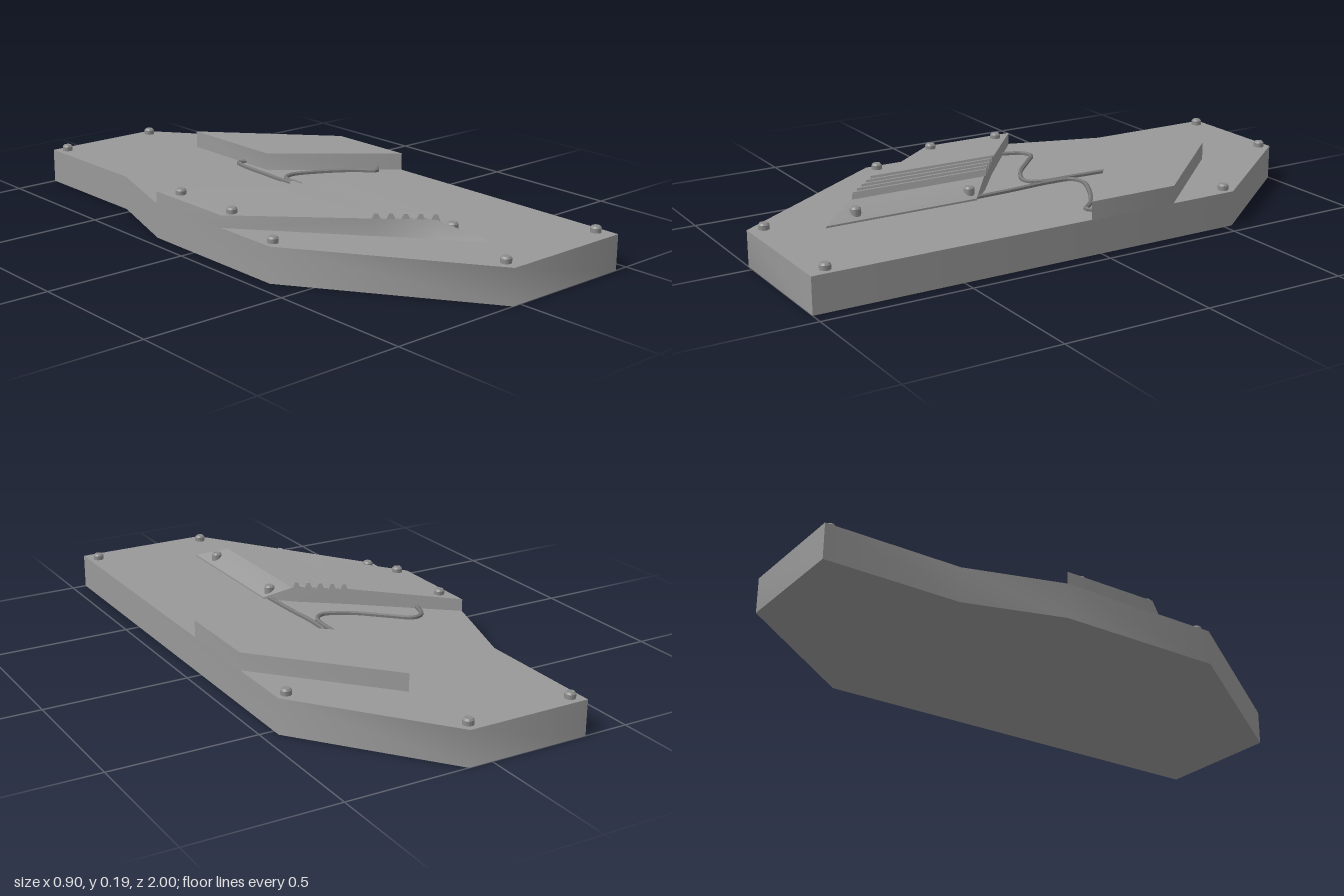
import * as THREE from 'three';
import { toCreasedNormals } from 'three/addons/utils/BufferGeometryUtils.js';

const BASE_TOP = 0.12;
const bodyMaterial = new THREE.MeshStandardMaterial({ color: 0x999999 });
const boltMaterial = new THREE.MeshStandardMaterial({ color: 0x8c8c8c });
const cableMaterial = new THREE.MeshStandardMaterial({ color: 0x777777 });

function addMesh(parent, name, geometry, material = bodyMaterial) {
  const mesh = new THREE.Mesh(geometry, material);
  mesh.name = name;
  parent.add(mesh);
  return mesh;
}

// Vertical prism from an [x, z] outline, shaded smoothly around blunt corners
function prism(outline, bottom, top) {
  const shape = new THREE.Shape(outline.map(([x, z]) => new THREE.Vector2(x, -z)));
  const geometry = new THREE.ExtrudeGeometry(shape, { depth: top - bottom, bevelEnabled: false });
  geometry.rotateX(-Math.PI / 2).translate(0, bottom, 0);
  return toCreasedNormals(geometry, 1.05);
}

// Closed solid through four-cornered rings, each clockwise seen from the far end
function loft(rings) {
  const positions = [];
  const quad = (a, b, c, d) => [a, b, c, a, c, d].forEach((p) => positions.push(...p));
  for (let i = 0; i + 1 < rings.length; i++) {
    for (let j = 0; j < 4; j++) {
      const k = (j + 1) % 4;
      quad(rings[i][j], rings[i + 1][j], rings[i + 1][k], rings[i][k]);
    }
  }
  const last = rings[rings.length - 1];
  quad(...rings[0]);
  quad(last[3], last[2], last[1], last[0]);
  const geometry = new THREE.BufferGeometry();
  geometry.setAttribute('position', new THREE.Float32BufferAttribute(positions, 3));
  return toCreasedNormals(geometry, 0.8);
}

// Cable lying on the base through [x, z] points
function cable(points) {
  const curve = new THREE.CatmullRomCurve3(points.map(([x, z]) => new THREE.Vector3(x, BASE_TOP + 0.004, z)));
  return toCreasedNormals(new THREE.TubeGeometry(curve, 60, 0.008, 6, false), 0.5);
}

export function createModel() {
  const model = new THREE.Group();
  model.name = 'panel';

  // Base plate
  addMesh(model, 'basePlate', prism([
    [-0.345, -1], [0.082, -1], [0.449, -0.53], [0.449, 1],
    [-0.03, 1], [-0.449, 0.385], [-0.449, -0.2], [-0.345, -0.53],
  ], 0, BASE_TOP));

  // Flat raised block
  addMesh(model, 'flatBlock', prism([
    [0.085, -0.685], [0.449, -0.283], [0.449, 0.038], [0.085, -0.272],
  ], BASE_TOP - 0.005, 0.18));

  // Sloped block: x, top height, back z, front z at the bottom, front z at the top
  const stations = [
    [-0.449, 0.162, -0.2, 0.145, 0.145],
    [-0.14, 0.176, 0.057, 0.518, 0.514],
    [0, 0.176, 0.165, 0.688, 0.652],
    [0.083, 0.126, 0.245, 0.788, 0.782],
  ];
  addMesh(model, 'slopedBlock', loft(stations.map(([x, y, back, front, frontTop]) => [
    [x, BASE_TOP - 0.005, back], [x, BASE_TOP - 0.005, front], [x, y, frontTop], [x, y, back],
  ])));

  // Cooling ribs, cut to the slanted ends of the block
  const ribs = new THREE.Group();
  ribs.name = 'ribs';
  model.add(ribs);
  const ribSection = [[-0.011, 0.172], [-0.004, 0.193], [0.004, 0.193], [0.011, 0.172]];
  const backZ = (x) => 0.16 + x * 0.77;
  const frontZ = (x) => 0.65 + x * 0.98;
  for (let i = 0; i < 5; i++) {
    const cx = -0.133 + i * 0.0328;
    addMesh(ribs, 'rib', loft([backZ, frontZ].map((end) =>
      ribSection.map(([dx, y]) => [cx + dx, y, end(cx + dx)]))));
  }

  // Cables
  addMesh(model, 'leftCable', cable([
    [-0.335, -0.09], [-0.305, -0.165], [-0.265, -0.18], [-0.2, -0.125], [-0.1, -0.035],
    [-0.01, 0.002], [0.025, -0.03], [0.035, -0.18], [0.048, -0.37], [0.062, -0.405], [0.09, -0.395],
  ]), cableMaterial);
  addMesh(model, 'rightCable', cable([
    [0.385, -0.02], [0.36, 0], [0.31, -0.05], [0.21, -0.115], [0.1, -0.158],
    [0.06, -0.14], [0.05, -0.06], [0.06, 0.1], [0.066, 0.24],
  ]), cableMaterial);

  // Bolts with a chamfered head: x, z, top height
  const boltProfile = [[0, -0.03], [0.018, -0.03], [0.018, -0.006], [0.013, 0], [0, 0]];
  const boltGeometry = toCreasedNormals(new THREE.LatheGeometry(
    boltProfile.map(([r, y]) => new THREE.Vector2(r, y)), 16), 0.6);
  const bolts = new THREE.Group();
  bolts.name = 'bolts';
  model.add(bolts);
  [
    [-0.307, -0.963, 0.141], [0.064, -0.963, 0.141], [0.414, -0.515, 0.141],
    [0.414, 0.94, 0.141], [-0.013, 0.95, 0.141], [-0.416, 0.36, 0.141],
    [-0.409, -0.118, 0.183], [-0.409, 0.15, 0.183], [0.053, 0.257, 0.163], [0.053, 0.668, 0.163],
  ].forEach(([x, z, y]) => addMesh(bolts, 'bolt', boltGeometry, boltMaterial).position.set(x, y, z));

  return model;
}
